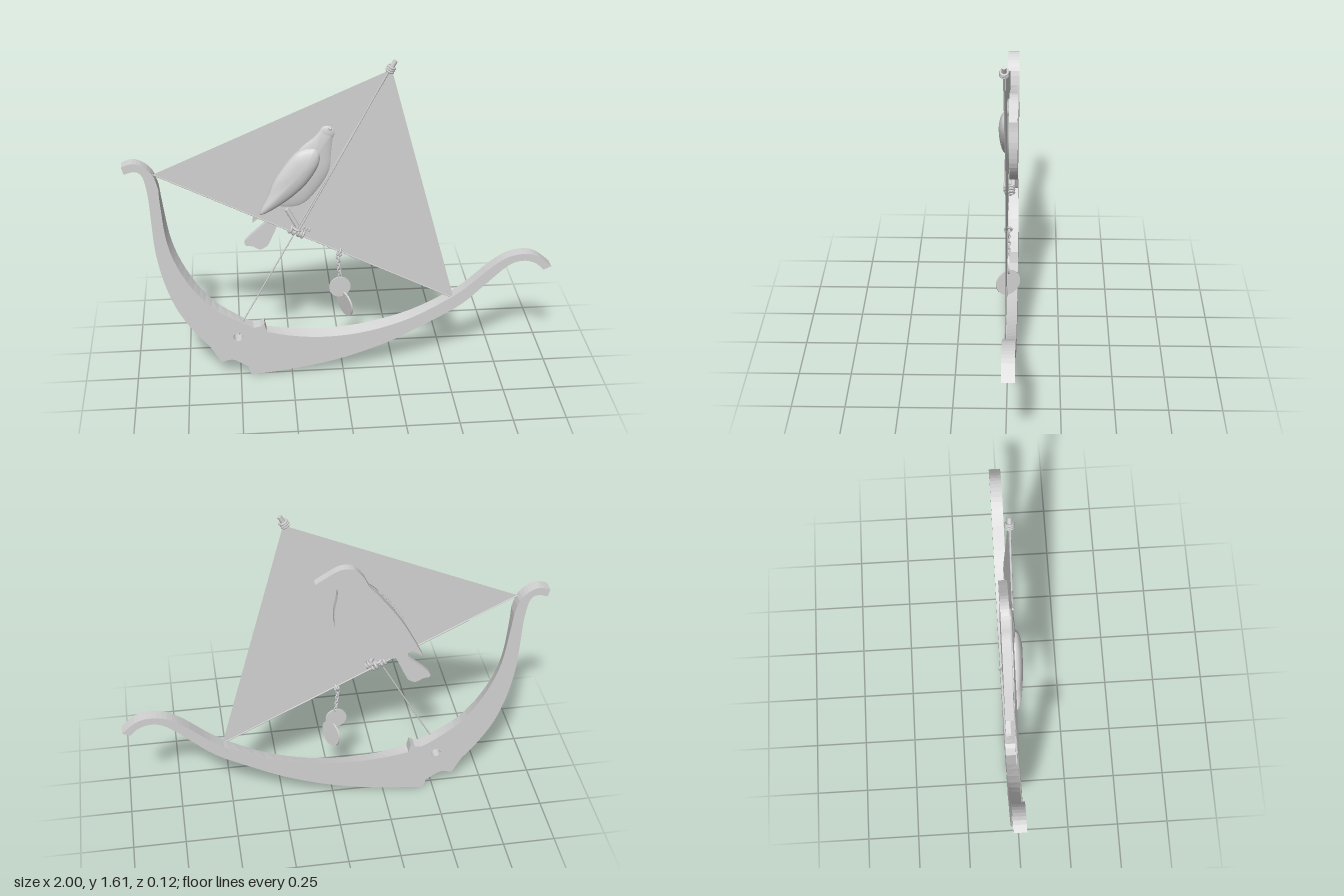
import * as THREE from 'three';

const grey = new THREE.MeshStandardMaterial({ color: 0xd3d3d3, side: THREE.DoubleSide });
grey.name = 'plain light grey';

const V = (x, y, z = 0) => new THREE.Vector3(x, y, z);
const pairs = (a) => a.map(([x, y]) => new THREE.Vector2(x, y));
const smooth = (a, n) => new THREE.SplineCurve(pairs(a)).getPoints(n);

function add(parent, name, geometry) {
  const mesh = new THREE.Mesh(geometry, grey);
  mesh.name = name;
  parent.add(mesh);
  return mesh;
}

// straight round bar between two points
function rod(parent, name, a, b, r) {
  const mesh = add(parent, name, new THREE.CylinderGeometry(r, r, a.distanceTo(b), 8));
  mesh.position.copy(a).add(b).multiplyScalar(0.5);
  mesh.quaternion.setFromUnitVectors(V(0, 1, 0), b.clone().sub(a).normalize());
}

// ring of cord wrapped around an axis
function wrap(parent, name, at, axis, R, r) {
  const mesh = add(parent, name, new THREE.TorusGeometry(R, r, 6, 14));
  mesh.position.copy(at);
  mesh.quaternion.setFromUnitVectors(V(0, 0, 1), axis.clone().normalize());
  return mesh;
}

// flat plate cut from an outline, from z0 to z1
function plate(points, z0, z1, hole) {
  const shape = new THREE.Shape(points);
  if (hole) shape.holes.push(new THREE.Path().absarc(...hole, 0, Math.PI * 2, true));
  return new THREE.ExtrudeGeometry(shape, { depth: z1 - z0, bevelEnabled: false, curveSegments: 10 })
    .translate(0, 0, z0);
}

// rounded relief rising from a counter-clockwise outline to a summit (cx, cy)
function dome(points, z0, height, [cx, cy]) {
  const n = points.length, rings = 7, pos = [], idx = [];
  for (let k = 0; k <= rings; k++) {
    const a = (k / rings) * Math.PI / 2, s = Math.cos(a);
    for (const p of points) pos.push(cx + (p.x - cx) * s, cy + (p.y - cy) * s, z0 + height * Math.sin(a));
  }
  for (let k = 0; k < rings; k++) {
    for (let i = 0; i < n; i++) {
      const j = (i + 1) % n, a = k * n + i, b = k * n + j;
      idx.push(a, b, b + n, a, b + n, a + n);
    }
  }
  const g = new THREE.BufferGeometry();
  g.setAttribute('position', new THREE.Float32BufferAttribute(pos, 3));
  g.setIndex(idx);
  g.computeVertexNormals();
  return g;
}

function makeHull(root) {
  const bow = smooth([[-1, 1.14], [-.95, 1.155], [-.9, 1.135], [-.86, 1.09], [-.84, 1.02]], 12);
  const innerBow = smooth([[-.84, 1.02], [-.827, .91], [-.803, .75], [-.76, .62], [-.69, .49],
    [-.604, .385], [-.487, .3]], 20);
  const deck = smooth([[-.37, .243], [-.23, .222], [-.07, .217], [.12, .238], [.33, .297], [.53, .395]], 20);
  const stern = smooth([[.53, .395], [.6, .447], [.706, .543], [.786, .596], [.866, .612], [.93, .596], [1, .538]], 20);
  const keel = smooth([[.963, .521], [.92, .56], [.856, .575], [.786, .548], [.68, .45], [.572, .35],
    [.41, .254], [.225, .158], [.01, .08], [-.203, .033], [-.45, .002]], 34);
  const notch = smooth([[-.465, .05], [-.508, .08], [-.545, .095], [-.594, .083]], 8);
  const outerBow = smooth([[-.64, .168], [-.717, .265], [-.79, .388], [-.842, .537], [-.873, .698],
    [-.883, .858], [-.89, .992], [-.908, 1.088], [-.941, 1.115], [-.99, 1.104]], 30);
  const outline = [...bow, ...innerBow.slice(1), ...pairs([[-.433, .27], [-.4, .275], [-.38, .29]]),
    ...deck, ...stern.slice(1), ...keel, ...notch, ...outerBow];
  const g = plate(outline, -.043, .015, [-.508, .222, .023]);

  // the inner edge slopes outward toward the front face
  const slope = new Map(), key = (x, y) => x.toFixed(4) + ',' + y.toFixed(4);
  for (const run of [innerBow, deck]) {
    run.forEach((p, i) => slope.set(key(p.x, p.y), .017 * Math.sin(Math.PI * i / (run.length - 1))));
  }
  const pos = g.attributes.position;
  for (let i = 0; i < pos.count; i++) {
    const x = pos.getX(i), y = pos.getY(i), s = slope.get(key(x, y));
    if (pos.getZ(i) < 0 || !s) continue;
    const d = new THREE.Vector2(x + .05, y - .95).normalize();
    pos.setXY(i, x + d.x * s, y + d.y * s);
  }
  g.computeVertexNormals();
  add(root, 'hull', g);
}

function makeRig(root) {
  const rig = new THREE.Group();
  rig.name = 'rigging';
  root.add(rig);
  const bowEnd = V(-.862, 1.093, .002), peak = V(.215, 1.565, .008), sternEnd = V(.534, .38, .003);
  const sail = new THREE.BufferGeometry().setFromPoints([bowEnd, sternEnd, peak]);
  sail.computeVertexNormals();
  add(rig, 'sail', sail);
  rod(rig, 'boom', bowEnd, sternEnd, .003);

  // mast, with a second spar beside it above the boom
  const foot = V(-.487, .297, .008), tip = V(.23, 1.607, .015), axis = tip.clone().sub(foot);
  rod(rig, 'mast', foot, tip, .0035);
  rod(rig, 'spar', V(-.216, .77, .012), V(.206, 1.57, .016), .004);
  rod(rig, 'mastTip', V(.2, 1.553, .015), tip, .011);
  const boomAxis = sternEnd.clone().sub(bowEnd);
  for (const t of [-.008, .002, .012]) {
    wrap(rig, 'peakLashing', V(.208 + t * .48, 1.567 + t * .88, .014), axis, .016, .006);
  }
  for (const t of [-.028, -.012, .012, .028]) {
    wrap(rig, 'boomLashing', V(-.217 + t, .774 - t * .51, 0), boomAxis, .016, .007);
  }
  wrap(rig, 'mastLashing', V(-.215, .79, .004), axis, .017, .007);
}

function makeBird(root) {
  const bird = new THREE.Group();
  bird.name = 'bird';
  root.add(bird);
  // flat back half: beak, crown, back, wing tip, belly
  const back = smooth([[.085, 1.276], [.04, 1.305], [-.03, 1.343], [-.09, 1.337], [-.135, 1.29], [-.16, 1.24],
    [-.21, 1.18], [-.31, 1.04], [-.38, .91], [-.42, .826]], 36);
  const belly = smooth([[-.37, .865], [-.29, .83], [-.2, .835], [-.1, .888], [-.018, .99], [.0, 1.1],
    [-.015, 1.2], [-.005, 1.25], [.085, 1.276]], 32);
  add(bird, 'bodyPlate', plate([...back, ...belly.slice(0, -1)], -.043, -.004));
  // rounded front half
  const body = smooth([[-.09, 1.31], [-.13, 1.26], [-.2, 1.2], [-.29, 1.07], [-.34, .96], [-.31, .905],
    [-.2, .905], [-.12, .98], [-.06, 1.08], [-.048, 1.18], [-.04, 1.25], [-.035, 1.3], [-.06, 1.315], [-.09, 1.31]], 48);
  add(bird, 'body', dome(body.slice(0, -1), -.004, .026, [-.15, 1.12]));
  const head = add(bird, 'head', new THREE.SphereGeometry(.04, 20, 14));
  head.position.set(-.073, 1.27, -.002);
  head.scale.z = .4;
  const eye = add(bird, 'eye', new THREE.SphereGeometry(.008, 12, 8));
  eye.position.set(-.058, 1.292, .011);
  // folded wing with a raised rim
  const wing = smooth([[-.13, 1.2], [-.18, 1.195], [-.23, 1.165], [-.31, 1.055], [-.35, .96], [-.385, .875],
    [-.28, .93], [-.176, 1.02], [-.115, 1.115], [-.108, 1.175], [-.13, 1.2]], 48).slice(0, -1);
  add(bird, 'wingRim', plate(wing, .0, .016));
  add(bird, 'wing', dome(wing, .016, .032, [-.185, 1.1]));
  const tail = [...pairs([[-.30, .81], [-.27, .87], [-.34, .87]]),
    ...smooth([[-.355, .82], [-.45, .73], [-.455, .7], [-.425, .695], [-.39, .677], [-.36, .69], [-.345, .71], [-.30, .81]], 20)];
  add(bird, 'tail', plate(tail.slice(0, -1), -.042, -.019));
  // legs and gripping toes
  for (const s of [0, 1]) {
    const x = s * .04, z = s ? -.02 : .014;
    rod(bird, 'leg', V(-.262 + x, .9, z), V(-.215 + x, .81, z), .011);
    for (let i = -1; i <= 1; i++) {
      wrap(bird, 'toe', V(-.21 + x + i * .013, .775 + s * .012 - i * .006, z * .6), V(1, -.5, 0), .014, .005);
    }
  }
}

function makePendant(root) {
  const pendant = new THREE.Group();
  pendant.name = 'pendant';
  root.add(pendant);
  wrap(pendant, 'hangingLoop', V(-.018, .66, 0), V(1, -.5, 0), .015, .006);
  wrap(pendant, 'hangingKnot', V(-.02, .648, .004), V(.3, 1, 0), .01, .006);
  // chain of alternating links
  for (let i = 0; i < 7; i++) {
    const axis = i % 2 ? V(1, 0, -.4) : V(.4, 0, 1);
    wrap(pendant, 'chainLink', V(-.024 + i * .0015, .632 - i * .0175, 0), axis, .009, .0035).scale.y = 1.25;
  }
  const disc = (name, r, at, yaw, tilt) => {
    const mesh = add(pendant, name, new THREE.CylinderGeometry(r, r, .008, 28).rotateX(Math.PI / 2));
    mesh.position.copy(at);
    mesh.rotation.set(0, yaw, tilt, 'ZYX');
  };
  disc('upperDisc', .052, V(-.016, .47, .002), .1, 0);
  disc('lowerDisc', .064, V(.008, .377, .001), -1.07, .12);
}

export function createModel() {
  const root = new THREE.Group();
  root.name = 'boatWithBird';
  makeHull(root);
  makeRig(root);
  makeBird(root);
  makePendant(root);
  return root;
}
